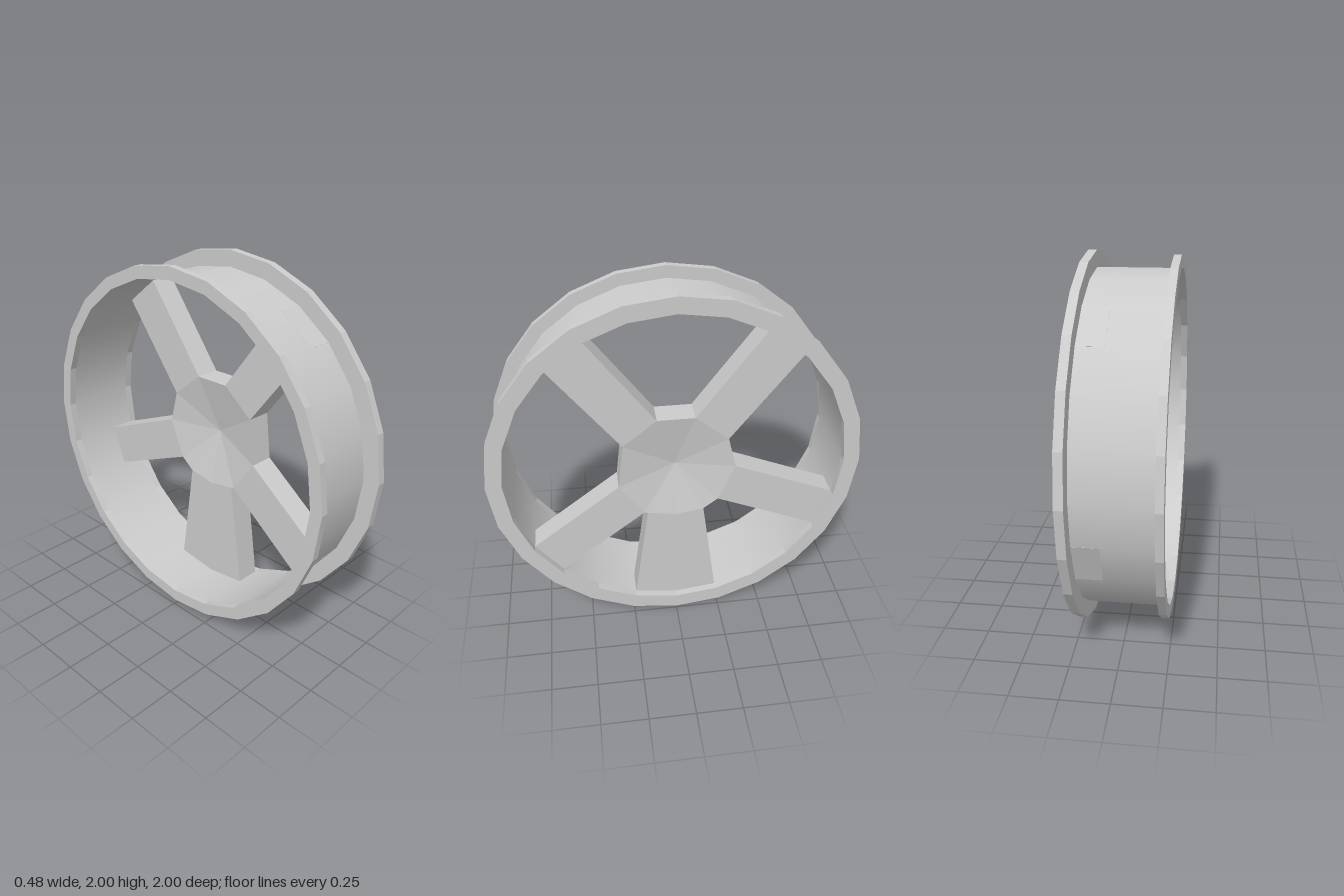
import * as THREE from 'three';

const SIDES = 24, BARREL = 0.913, BACK = 0.06, FRONT = 0.2;
const material = new THREE.MeshStandardMaterial({ color: 0xcccccc, side: THREE.DoubleSide });
const flatMaterial = new THREE.MeshStandardMaterial({ color: 0xcccccc, flatShading: true });

// Point on a circle, angle in degrees clockwise from the top
const polar = (r, deg) => {
  const t = THREE.MathUtils.degToRad(deg);
  return new THREE.Vector2(r * Math.sin(t), r * Math.cos(t));
};
const polygon = (r) => Array.from({ length: SIDES }, (_, i) => polar(r, i * 360 / SIDES));

// Flat-sided slab between two depths
function slab(shape, from, to) {
  const geometry = new THREE.ExtrudeGeometry(shape, { depth: to - from, bevelEnabled: false });
  return geometry.translate(0, 0, from);
}

// Each spoke: root points on the hub (anticlockwise) and the rim angles it runs to
const spokes = [
  { root: [[0.28, 0.17], [0.1, 0.315]], rim: [45, 30] },
  { root: [[-0.1, 0.315], [-0.28, 0.17]], rim: [-30, -45] },
  { root: [[-0.31, -0.09], [-0.175, -0.28]], rim: [-120, -135] },
  { root: [[-0.155, -0.285], [0, -0.31], [0.155, -0.285]], rim: [-165, 180, 165] },
  { root: [[0.235, -0.225], [0.325, -0.01]], rim: [120, 105] },
];

// Hub: walls between the spokes, both faces dished towards the centre
function hubGeometry() {
  const outline = spokes.flatMap((s) =>
    s.root.map(([x, y], i) => ({ x, y, gap: i === s.root.length - 1 })));
  const positions = [];
  const triangle = (...corners) => corners.forEach((c) => positions.push(...c));
  outline.forEach((p, i) => {
    const q = outline[(i + 1) % outline.length];
    const pf = [p.x, p.y, FRONT], qf = [q.x, q.y, FRONT];
    const pb = [p.x, p.y, BACK], qb = [q.x, q.y, BACK];
    triangle([0, 0, 0.14], pf, qf);
    triangle([0, 0, 0.13], qb, pb);
    if (p.gap) {
      triangle(pf, pb, qf);
      triangle(qf, pb, qb);
    }
  });
  const geometry = new THREE.BufferGeometry();
  geometry.setAttribute('position', new THREE.Float32BufferAttribute(positions, 3));
  geometry.computeVertexNormals();
  return geometry;
}

export function createModel() {
  const model = new THREE.Group();
  model.name = 'wheel';

  // Built around the z axis, then turned so the axle lies along x
  const wheel = new THREE.Group();
  wheel.name = 'wheelBody';
  wheel.rotation.y = Math.PI / 2;
  wheel.position.y = 1;
  model.add(wheel);
  const add = (name, geometry, mat) => {
    const mesh = new THREE.Mesh(geometry, mat);
    mesh.name = name;
    wheel.add(mesh);
  };

  // Thin smooth barrel
  const barrel = new THREE.CylinderGeometry(BARREL, BARREL, 0.4, SIDES, 1, true);
  add('barrel', barrel.rotateX(Math.PI / 2), material);

  // Flanges, the outer one slightly larger; the hole winds opposite to the rim
  const flange = (radius) => {
    const shape = new THREE.Shape(polygon(radius));
    shape.holes.push(new THREE.Path(polygon(BARREL).reverse()));
    return shape;
  };
  add('outerFlange', slab(flange(1), 0.195, 0.24), flatMaterial);
  add('innerFlange', slab(flange(0.98), -0.24, -0.2), flatMaterial);

  // Spokes, their ends just showing through the barrel
  spokes.forEach(({ root, rim }, i) => {
    const points = root.map(([x, y]) => new THREE.Vector2(x, y));
    const ends = rim.map((deg) => polar(BARREL + 0.001, deg)).reverse();
    add('spoke' + (i + 1), slab(new THREE.Shape([...points, ...ends]), BACK, FRONT), flatMaterial);
  });
  add('hub', hubGeometry(), flatMaterial);

  return model;
}
